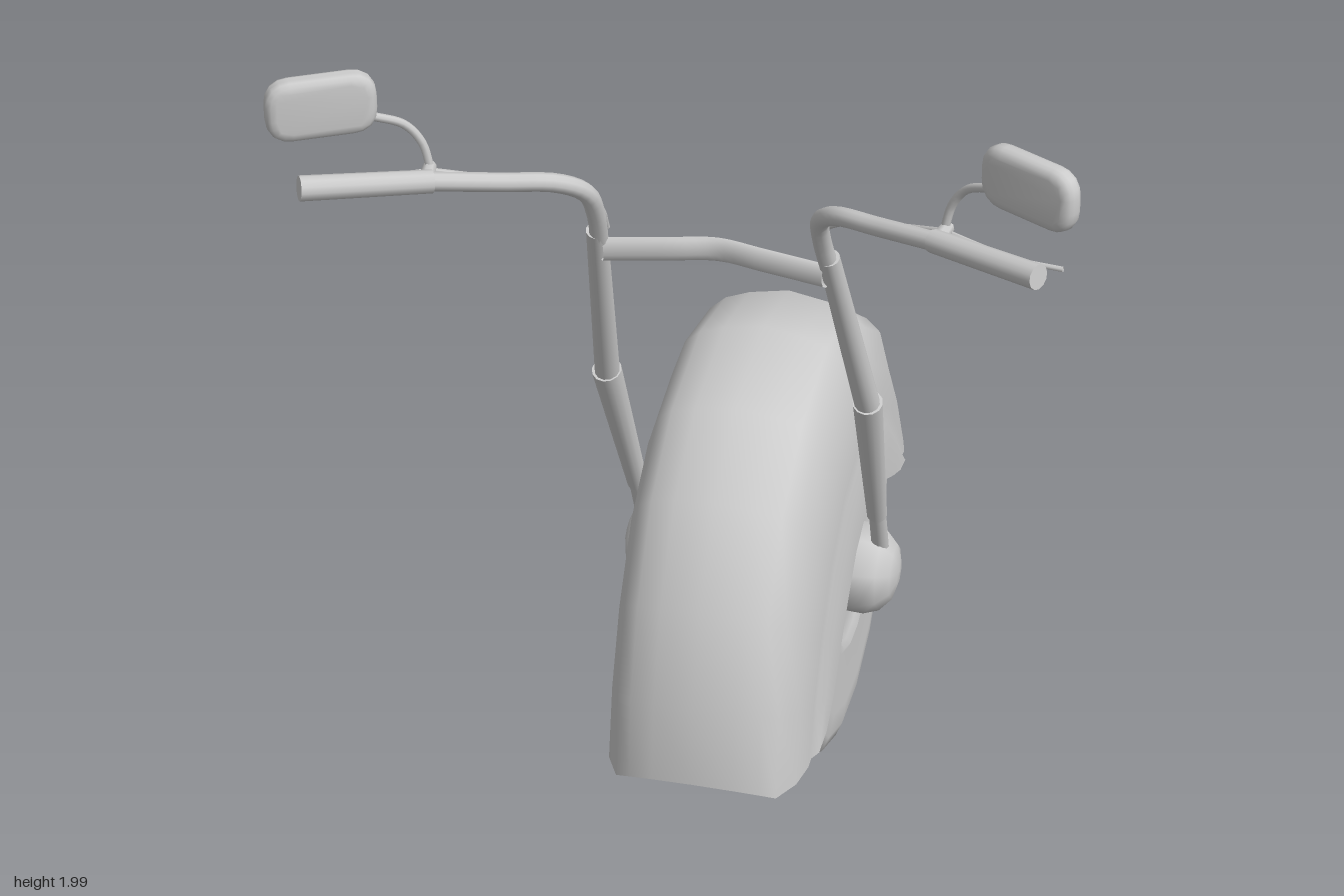
import * as THREE from 'three';
import { toCreasedNormals } from 'three/addons/utils/BufferGeometryUtils.js';

const AXLE_Y = 0.465, AXLE_Z = -0.1;
const mat = new THREE.MeshStandardMaterial({ color: 0xcccccc });
const thinMat = new THREE.MeshStandardMaterial({ color: 0xcccccc, side: THREE.DoubleSide });
const vec = (p) => new THREE.Vector3(...p);

function add(parent, name, geometry, material = mat) {
  const mesh = new THREE.Mesh(geometry, material);
  mesh.name = name;
  parent.add(mesh);
  return mesh;
}

// Tapered rod from a to b
function rod(parent, name, a, b, ra, rb, sides = 12) {
  const from = vec(a), to = vec(b), dir = to.clone().sub(from);
  const mesh = add(parent, name, new THREE.CylinderGeometry(rb, ra, dir.length(), sides));
  mesh.position.copy(from).add(to).multiplyScalar(0.5);
  mesh.quaternion.setFromUnitVectors(new THREE.Vector3(0, 1, 0), dir.normalize());
  return mesh;
}

// Bent pipe through points
function pipe(parent, name, points, radius, sides = 10) {
  const curve = new THREE.CatmullRomCurve3(points.map(vec), false, 'centripetal');
  return add(parent, name, new THREE.TubeGeometry(curve, points.length * 4, radius, sides), thinMat);
}

// Turned part on the axle; profile is [radius, x]
function turned(parent, name, profile, segments, side = 1) {
  const pts = profile.map(([r, x]) => new THREE.Vector2(r, x));
  const geometry = new THREE.LatheGeometry(pts, segments, Math.PI / segments);
  geometry.rotateZ(-side * Math.PI / 2);
  const mesh = add(parent, name, geometry);
  mesh.position.set(0, AXLE_Y, AXLE_Z);
  return mesh;
}

// Shell swept front to back between the crown line and the side edge line, both [z, y]
function fenderGeometry() {
  const crown = [[0.57, 0.3], [0.55, 0.48], [0.48, 0.69], [0.35, 0.89], [0.16, 1.015],
    [-0.1, 1.07], [-0.35, 1.02], [-0.545, 0.89], [-0.66, 0.68], [-0.76, 0.43]];
  const edge = [[0.29, 0.285], [0.22, 0.335], [0.15, 0.42], [0.08, 0.5], [0, 0.575],
    [-0.12, 0.625], [-0.23, 0.61], [-0.32, 0.565], [-0.41, 0.52], [-0.49, 0.485]];
  // [half width, fraction of the way from crown to edge]
  const half = [[0.09, 0.035], [0.145, 0.08], [0.18, 0.15], [0.212, 0.36],
    [0.225, 0.58], [0.225, 0.68], [0.238, 0.76], [0.24, 1]];
  const section = [...half.map(([x, t]) => [-x, t]).reverse(), [0, 0], ...half];
  const positions = [], index = [], n = section.length;
  crown.forEach(([cz, cy], i) => {
    const [ez, ey] = edge[i];
    for (const [x, t] of section) {
      const dip = i === 0 ? 0.035 * Math.min(1, t / 0.15) * (1 - t * t) : 0;
      positions.push(x, cy + (ey - cy) * t - dip, cz + (ez - cz) * t);
    }
  });
  for (let i = 0; i < crown.length - 1; i++) {
    for (let j = 0; j < n - 1; j++) {
      const a = i * n + j;
      index.push(a, a + 1, a + n, a + 1, a + n + 1, a + n);
    }
  }
  const geometry = new THREE.BufferGeometry();
  geometry.setAttribute('position', new THREE.Float32BufferAttribute(positions, 3));
  geometry.setIndex(index);
  geometry.computeVertexNormals();
  return geometry;
}

// Rounded rectangular mirror head with bevelled rims
function mirrorGeometry() {
  const w = 0.092, h = 0.046, r = 0.032;
  const s = new THREE.Shape();
  s.moveTo(-w + r, -h);
  s.lineTo(w - r, -h);
  s.quadraticCurveTo(w, -h, w, -h + r);
  s.lineTo(w, h - r);
  s.quadraticCurveTo(w, h, w - r, h);
  s.lineTo(-w + r, h);
  s.quadraticCurveTo(-w, h, -w, h - r);
  s.lineTo(-w, -h + r);
  s.quadraticCurveTo(-w, -h, -w + r, -h);
  const geometry = new THREE.ExtrudeGeometry(s, {
    depth: 0.012, bevelThickness: 0.018, bevelSize: 0.02, bevelSegments: 3, curveSegments: 4,
  });
  geometry.translate(0, 0, -0.006);
  return toCreasedNormals(geometry, 0.7);
}

function createSide(s) {
  const side = new THREE.Group();
  side.name = s > 0 ? 'leftSide' : 'rightSide';
  const m = ([x, y, z]) => [s * x, y, z];

  // Hub dome and fork leg
  turned(side, 'hubCap', [[0.105, 0.2], [0.107, 0.245], [0.095, 0.28], [0.065, 0.308],
    [0.03, 0.318], [0, 0.32]], 8, s);
  rod(side, 'axleRod', m([0.275, 0.5, -0.105]), m([0.278, 0.7, -0.025]), 0.02, 0.02);
  rod(side, 'forkSlider', m([0.277, 0.655, -0.04]), m([0.29, 1.065, 0.148]), 0.023, 0.033);
  rod(side, 'forkTube', m([0.29, 1.05, 0.142]), m([0.246, 1.53, 0.352]), 0.028, 0.023);

  // Handlebar and grip
  pipe(side, 'handlebar', [[0.245, 1.5, 0.34], [0.238, 1.59, 0.385], [0.245, 1.66, 0.43],
    [0.29, 1.705, 0.483], [0.39, 1.727, 0.545], [0.54, 1.755, 0.63]].map(m), 0.02);
  rod(side, 'grip', m([0.51, 1.75, 0.613]), m([0.742, 1.777, 0.75]), 0.024, 0.026);

  // Lever with its clamp, and cable
  rod(side, 'leverClamp', m([0.52, 1.755, 0.62]), m([0.53, 1.757, 0.565]), 0.018, 0.014, 8);
  pipe(side, 'lever', [[0.52, 1.752, 0.57], [0.6, 1.747, 0.605], [0.68, 1.747, 0.642],
    [0.775, 1.745, 0.655]].map(m), 0.006, 6);
  pipe(side, 'cable', [[0.228, 1.53, 0.335], [0.235, 1.6, 0.368], [0.3, 1.655, 0.415],
    [0.4, 1.7, 0.485], [0.525, 1.75, 0.57]].map(m), 0.006, 6);

  // Mirror on a curved stem
  pipe(side, 'mirrorStem', [[0.525, 1.755, 0.575], [0.54, 1.815, 0.577], [0.57, 1.86, 0.592],
    [0.625, 1.895, 0.635]].map(m), 0.009, 8);
  const head = add(side, 'mirror', mirrorGeometry());
  head.position.set(s * 0.71, 1.933, 0.685);
  head.rotation.y = -s * 0.52;
  return side;
}

export function createModel() {
  const model = new THREE.Group();
  model.name = 'motorcycleFrontEnd';

  // Tyre with recessed side discs
  const tyreHalf = [[0, 0.2], [0.14, 0.2], [0.18, 0.205], [0.19, 0.217], [0.205, 0.21], [0.34, 0.214],
    [0.395, 0.208], [0.428, 0.195], [0.448, 0.155], [0.46, 0.08]];
  turned(model, 'wheel', [...tyreHalf.map(([r, x]) => [r, -x]), [0.466, 0],
    ...[...tyreHalf].reverse()], 16);

  add(model, 'fender', fenderGeometry(), thinMat);

  // Flattened, slightly bowed bar joining the fork legs
  const flat = 0.45;
  const bar = pipe(model, 'crossbar', [[-0.24, 1.482, 0.345 / flat], [-0.1, 1.49, 0.325 / flat],
    [0, 1.493, 0.308 / flat], [0.1, 1.49, 0.325 / flat], [0.24, 1.482, 0.345 / flat]], 0.028);
  bar.scale.z = flat;

  for (const s of [1, -1]) model.add(createSide(s));
  return model;
}
